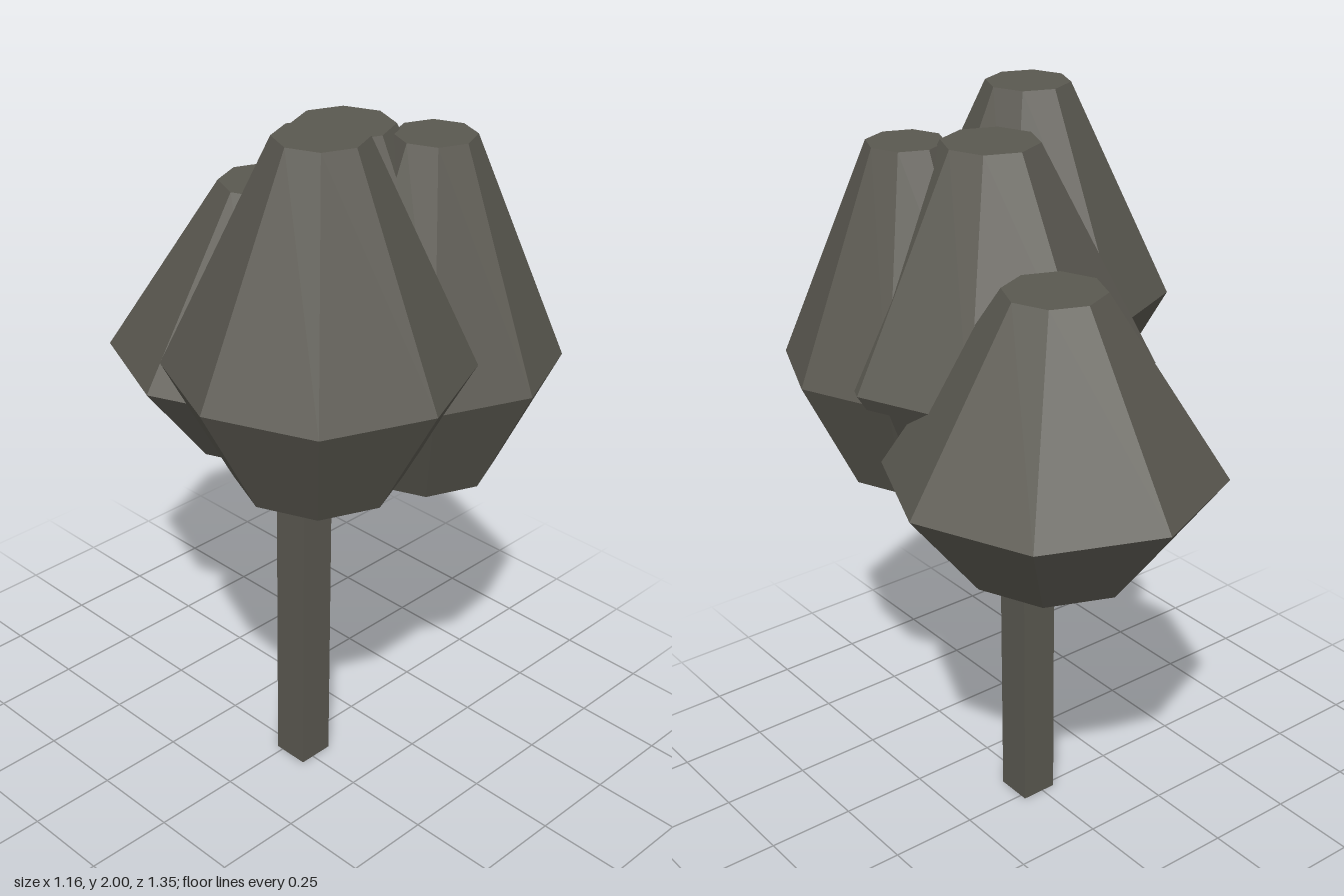
import * as THREE from 'three';

const material = new THREE.MeshStandardMaterial({ color: 0x5a5850, flatShading: true });

// Closed eight-sided crown: narrow flat top, wide shoulder, flat base
function crownGeometry({ top, shoulder, base }) {
  const profile = [[0, base[1]], base, shoulder, top, [0, top[1]]];
  return new THREE.LatheGeometry(profile.map(([r, y]) => new THREE.Vector2(r, y)), 8);
}

// Each ring is [radius, height]
const crowns = [
  { name: 'crownFrontRight', x: -0.2, z: 0.295, top: [0.113, 2], shoulder: [0.38, 1.43], base: [0.21, 1.12] },
  { name: 'crownFrontLeft', x: 0.19, z: 0.295, top: [0.103, 1.91], shoulder: [0.345, 1.325], base: [0.19, 1.01] },
  { name: 'crownMiddle', x: 0.055, z: 0.12, top: [0.127, 1.925], shoulder: [0.425, 1.35], base: [0.235, 1.04] },
  { name: 'crownBack', x: 0.14, z: -0.24, top: [0.13, 1.66], shoulder: [0.438, 1.18], base: [0.24, 0.925] },
];

export function createModel() {
  const tree = new THREE.Group();
  tree.name = 'tree';

  // Square trunk, ending just under the foliage
  const trunk = new THREE.Mesh(new THREE.BoxGeometry(0.105, 0.89, 0.105), material);
  trunk.name = 'trunk';
  trunk.position.set(0.012, 0.445, 0.033);
  tree.add(trunk);

  // Overlapping foliage clumps
  for (const crown of crowns) {
    const mesh = new THREE.Mesh(crownGeometry(crown), material);
    mesh.name = crown.name;
    mesh.position.set(crown.x, 0, crown.z);
    tree.add(mesh);
  }
  return tree;
}
